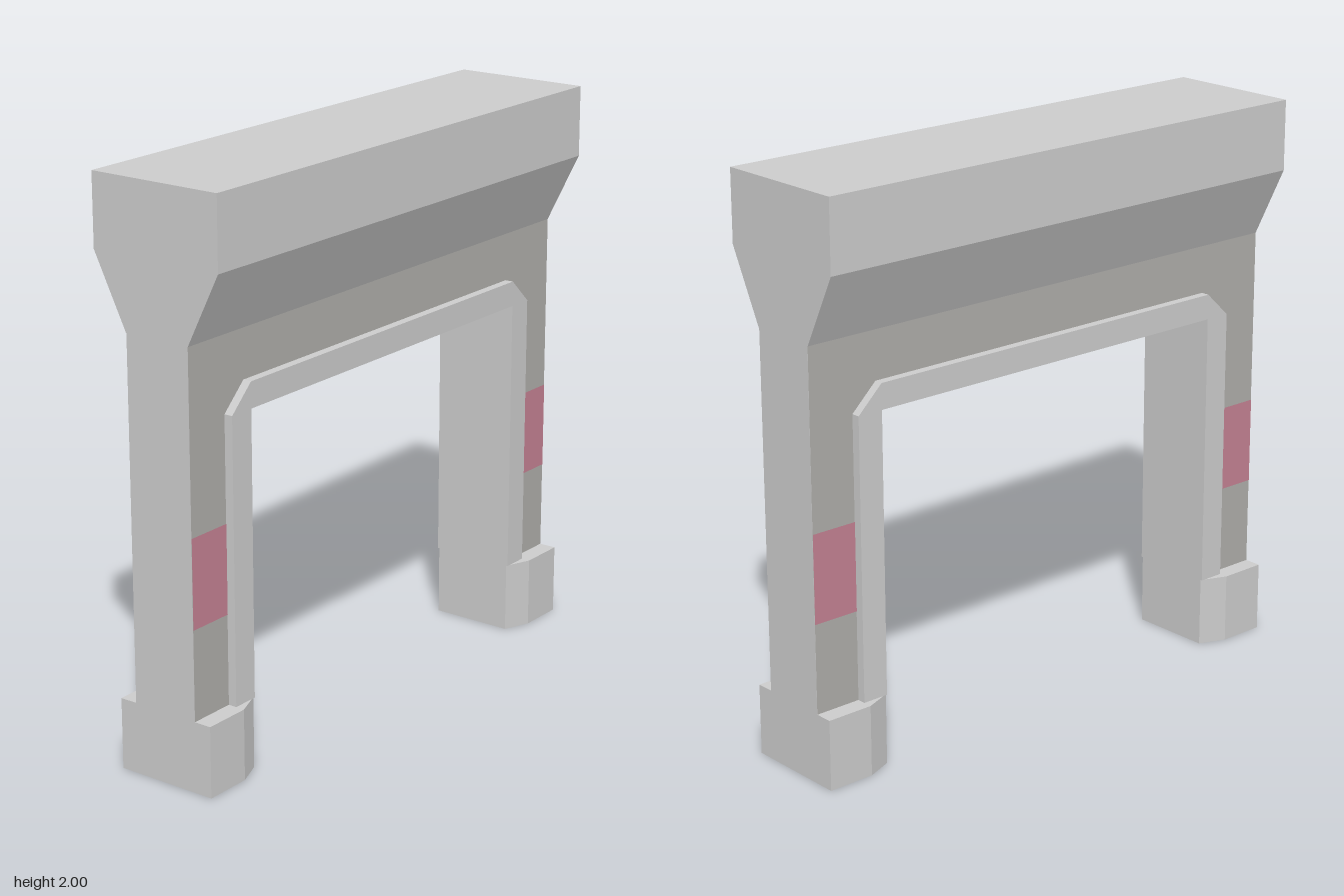
import * as THREE from 'three';

const WALL_Z = 0.125, TRIM_Z = 0.156, FOOT_H = 0.25;

const shapeOf = (pts) => new THREE.Shape(pts.map(([x, y]) => new THREE.Vector2(x, y)));
const mirrorX = (half) => [...half, ...half.map(([x, y]) => [-x, y]).reverse()];

// Prism of a flat outline, centred along its depth
function prism(pts, depth) {
  const geo = new THREE.ExtrudeGeometry(shapeOf(pts), { depth, bevelEnabled: false });
  return geo.translate(0, 0, -depth / 2);
}

export function createModel() {
  const model = new THREE.Group();
  model.name = 'archway';
  const grey = new THREE.MeshStandardMaterial({ color: 0xcccccc, flatShading: true });
  const stone = new THREE.MeshStandardMaterial({ color: 0xaeada9, flatShading: true });
  const pink = new THREE.MeshStandardMaterial({ color: 0xc38192, flatShading: true });

  const add = (name, geo, mat) => {
    const mesh = new THREE.Mesh(geo, mat);
    mesh.name = name;
    model.add(mesh);
    return mesh;
  };

  // Chamfered opening, from the foot up to the middle of the arch
  const opening = [[0.83, FOOT_H], [0.83, 1.24], [0.735, 1.33]];
  const reveal = [[0.735, FOOT_H], [0.735, 1.24]];

  // Wall around the opening
  const wall = [[-1, FOOT_H], [-1, 1.5], [1, 1.5], [1, FOOT_H], ...mirrorX(opening)];
  add('wall', prism(wall, 2 * (WALL_Z - 0.001)), grey);

  // Raised trim lining the opening, right through the wall
  const trim = [...mirrorX(opening), ...mirrorX(reveal.map(([x, y]) => [-x, y]))];
  add('openingTrim', prism(trim, 2 * TRIM_Z), grey);

  // Flared top beam, its section running along x
  const beam = [[0.125, 1.5], [0.25, 1.75], [0.25, 2]];
  add('topBeam', prism(mirrorX(beam), 2).rotateY(Math.PI / 2), grey);

  // Darker facing and pink bands on both faces of the wall
  for (const [side, turn] of [['front', 0], ['back', Math.PI]]) {
    const facing = new THREE.ShapeGeometry(shapeOf(wall)).translate(0, 0, WALL_Z);
    add(side + 'Facing', facing.rotateY(turn), stone);
    for (const x of [-0.915, 0.915]) {
      const band = new THREE.PlaneGeometry(0.17, 0.31).translate(x, 0.72, WALL_Z + 0.001);
      add(side + 'Band', band.rotateY(turn), pink);
    }
  }

  // Feet, tapering towards the opening
  const foot = [
    [1, -0.188], [1, 0.188], [0.83, 0.188],
    [0.735, 0.15], [0.735, -0.15], [0.83, -0.188],
  ];
  for (const [name, turn] of [['leftFoot', 0], ['rightFoot', Math.PI]]) {
    const geo = prism(foot, FOOT_H).rotateX(-Math.PI / 2).translate(0, FOOT_H / 2, 0);
    add(name, geo.rotateY(turn), grey);
  }

  return model;
}
